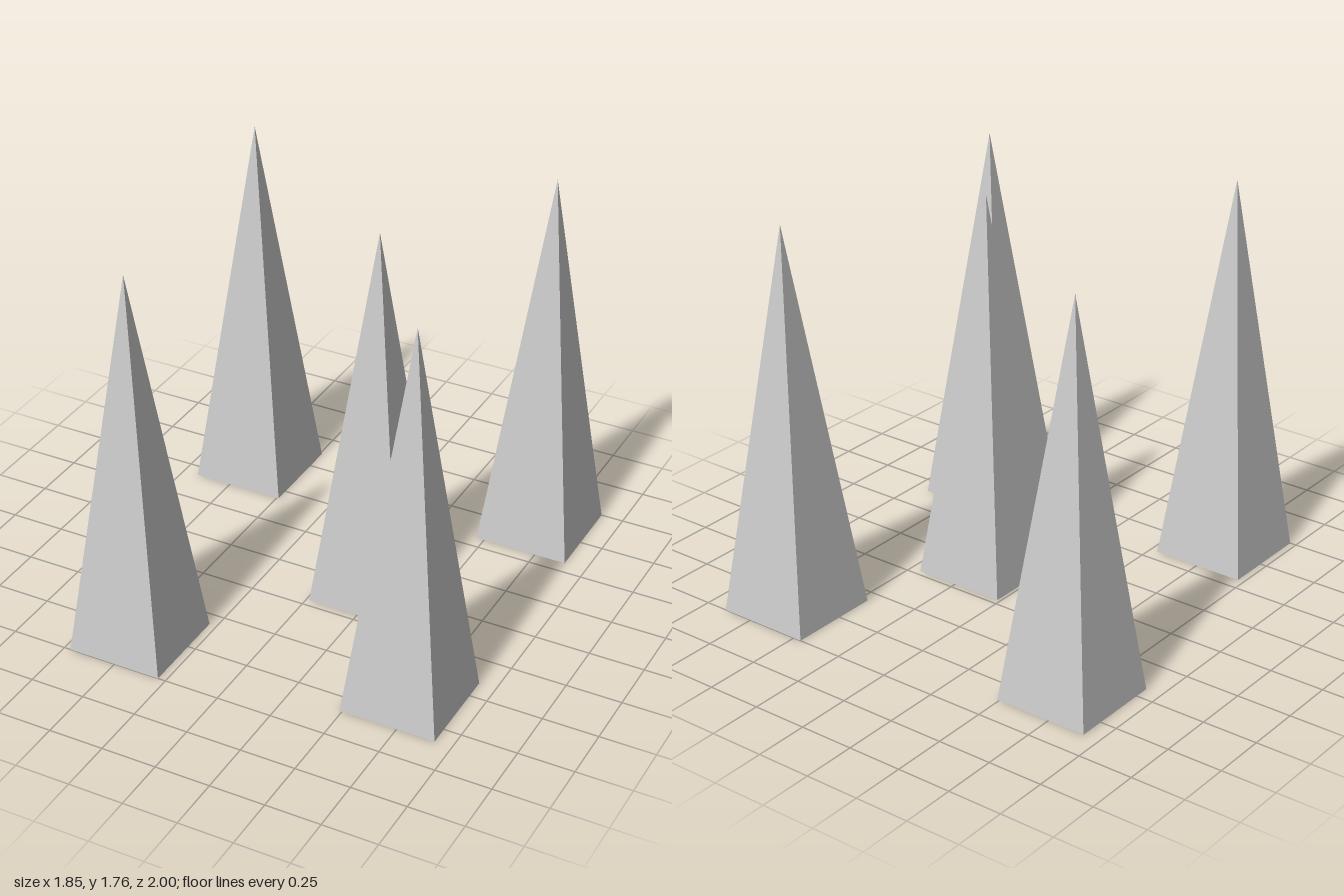
import * as THREE from 'three';

const HALF = 0.217;   // half the width of a square base
const HEIGHT = 1.765;

export function createModel() {
  const group = new THREE.Group();
  group.name = 'spikes';
  const material = new THREE.MeshStandardMaterial({ color: 0xcccccc, flatShading: true });

  // Four-sided spike with its base on the ground and sides along the axes
  const geometry = new THREE.ConeGeometry(HALF * Math.SQRT2, HEIGHT, 4, 1)
    .rotateY(Math.PI / 4)
    .translate(0, HEIGHT / 2, 0);

  // Name and ground position (x, z) of each spike
  const spikes = [
    ['backRightSpike', -0.707, -0.65],
    ['backLeftSpike', 0.679, -0.783],
    ['middleSpike', 0.231, -0.005],
    ['frontLeftSpike', 0.705, 0.622],
    ['frontRightSpike', -0.503, 0.783],
  ];
  for (const [name, x, z] of spikes) {
    const spike = new THREE.Mesh(geometry, material);
    spike.name = name;
    spike.position.set(x, 0, z);
    group.add(spike);
  }
  return group;
}
